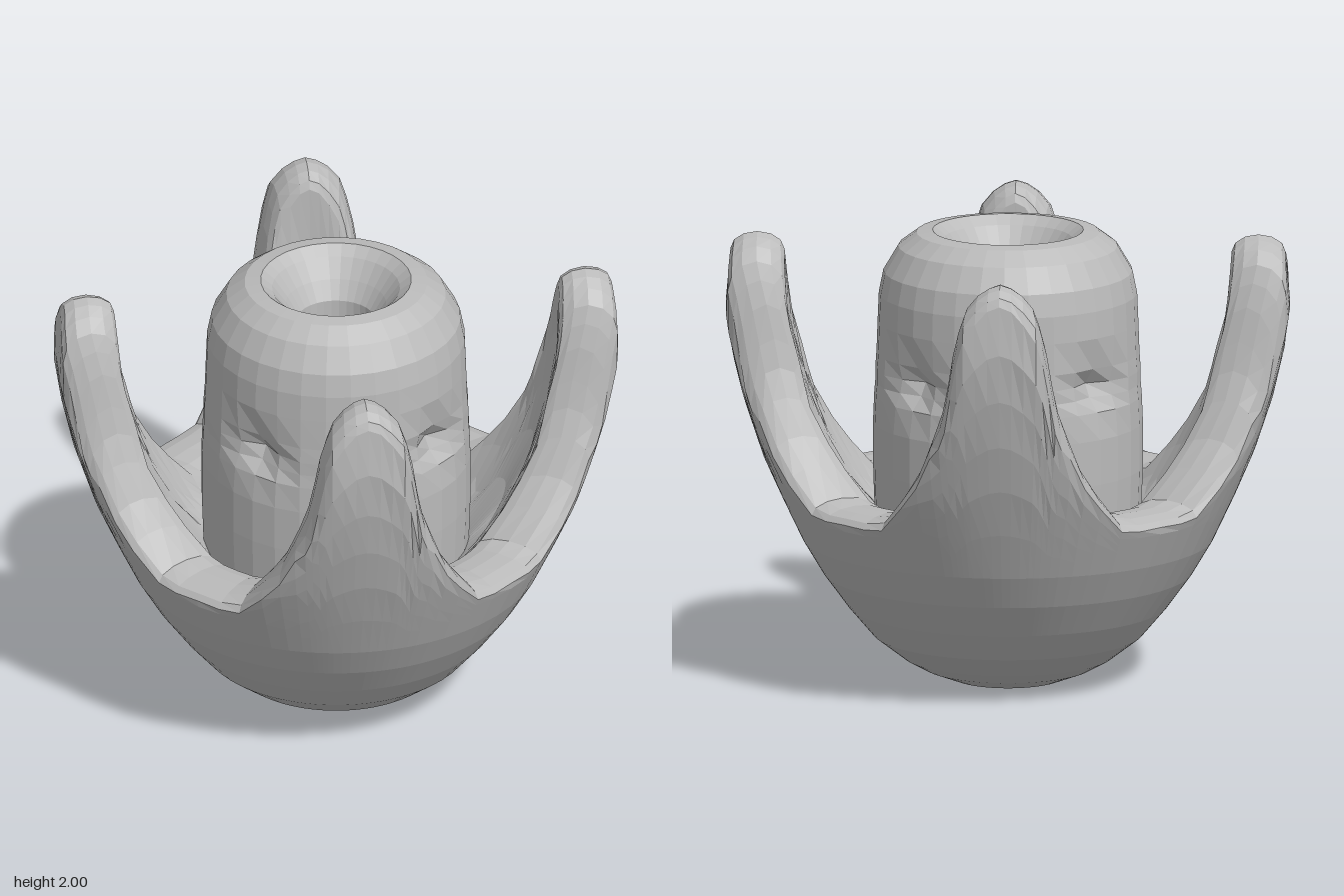
import * as THREE from 'three';

// Piecewise linear lookup in a short list of [input, output] pairs
function lookup(table, t) {
  if (t <= table[0][0]) return table[0][1];
  for (let i = 1; i < table.length; i++) {
    const [a, va] = table[i - 1], [b, vb] = table[i];
    if (t <= b) return va + (vb - va) * (t - a) / (b - a);
  }
  return table[table.length - 1][1];
}

// Outer and inner wall radius by height
const OUTER = [[0, 0.24], [0.05, 0.37], [0.1, 0.46], [0.2, 0.59], [0.4, 0.76], [0.6, 0.885],
  [0.8, 0.98], [1.0, 1.07], [1.3, 1.17], [1.6, 1.235], [1.8, 1.23], [2, 1.2]];
const INNER = [[0.7, 0.55], [0.8, 0.66], [1.0, 0.78], [1.2, 0.875], [1.5, 0.95], [1.7, 0.975], [2, 0.98]];
// Rim height by angle in degrees away from the nearest corner
const RIM = [[0, 1.985], [4, 1.96], [7.5, 1.88], [10, 1.75], [11.5, 1.6], [13, 1.45], [16, 1.3],
  [20, 1.14], [25, 1.02], [32, 0.89], [38, 0.87], [45, 0.87]];
const HALF = 0.98;

// Wall cross-section at one angle: up the outside, over the rim, down the inside
function wallSection(theta, d) {
  const h = lookup(RIM, d);
  const slope = Math.abs(lookup(RIM, d + 1) - lookup(RIM, Math.max(0, d - 1))) / 2;
  const drop = Math.min(0.22, 0.07 + 1.6 * slope) * (h > 1.3 ? 1 : 0.7);
  const square = HALF / Math.max(Math.abs(Math.cos(theta)), Math.abs(Math.sin(theta)));
  const outer = y => Math.min(lookup(OUTER, y), square);
  const inner = y => lookup(INNER, y);
  const points = [[0, 0.05], [0.09, 0.005], [0.24, 0]];
  for (const y of [0.05, 0.1, 0.2, 0.33, 0.48, 0.63]) points.push([outer(y), y]);
  const top = h - drop;
  for (let i = 1; i <= 6; i++) {
    const y = 0.63 + (top - 0.63) * i / 6;
    points.push([outer(y), y]);
  }
  // rounded rim
  const ro = outer(top), ri = inner(top);
  for (let i = 1; i < 6; i++) {
    const a = Math.PI * i / 6;
    points.push([(ro + ri) / 2 + (ro - ri) / 2 * Math.cos(a), top + drop * Math.sin(a)]);
  }
  for (let i = 0; i <= 5; i++) {
    const y = top + (0.7 - top) * i / 5;
    points.push([inner(y), y]);
  }
  points.push([0.4, 0.68]);
  return points;
}

// Bowl whose rim rises into four corner prongs
function bowlGeometry() {
  const half = [2.5, 5, 7.5, 9, 10.5, 12, 13.5, 16, 20, 25, 32, 38];
  const offsets = [...half.map(d => -d).reverse(), 0, ...half, 45];
  const positions = [], index = [];
  let rows = 0, columns = 0;
  for (let corner = 0; corner < 4; corner++) {
    for (const d of offsets) {
      const theta = (45 + 90 * corner + d) * Math.PI / 180;
      const section = wallSection(theta, Math.abs(d));
      rows = section.length;
      columns++;
      for (const [r, y] of section) positions.push(r * Math.sin(theta), y, r * Math.cos(theta));
    }
  }
  for (let j = 0; j < columns; j++) {
    for (let i = 0; i < rows - 1; i++) {
      const a = j * rows + i, b = ((j + 1) % columns) * rows + i;
      index.push(a, b, a + 1, b + 1, a + 1, b);
    }
  }
  const geometry = new THREE.BufferGeometry();
  geometry.setAttribute('position', new THREE.Float32BufferAttribute(positions, 3));
  geometry.setIndex(index);
  geometry.computeVertexNormals();
  return geometry;
}

// Central column with a funnel-shaped hole and a shallow dent on each side
function columnGeometry() {
  const profile = [[0.58, 0.65], [0.59, 0.95], [0.59, 1.15], [0.585, 1.27], [0.58, 1.33], [0.58, 1.39],
    [0.575, 1.46], [0.57, 1.6], [0.565, 1.72], [0.545, 1.82], [0.48, 1.93], [0.4, 1.99], [0.33, 2],
    [0.28, 1.96], [0.22, 1.88], [0.17, 1.8], [0.165, 1.6], [0.15, 1.42], [0, 1.38]];
  const geometry = new THREE.LatheGeometry(profile.map(([r, y]) => new THREE.Vector2(r, y)), 32);
  const p = geometry.attributes.position;
  for (let i = 0; i < p.count; i++) {
    const x = p.getX(i), y = p.getY(i), z = p.getZ(i), r = Math.hypot(x, z);
    if (r < 0.5) continue;
    const side = Math.min(Math.abs(x), Math.abs(z));
    const dent = 0.09 * Math.exp(-(((y - 1.38) / 0.08) ** 2) - (side / 0.12) ** 2);
    p.setXYZ(i, x * (1 - dent / r), y, z * (1 - dent / r));
  }
  geometry.computeVertexNormals();
  return geometry;
}

export function createModel() {
  const model = new THREE.Group();
  model.name = 'prongedBowl';
  const grey = new THREE.MeshStandardMaterial({ color: 0xbababa, flatShading: true });
  grey.name = 'light grey';

  const bowl = new THREE.Mesh(bowlGeometry(), grey);
  bowl.name = 'bowlWithProngs';
  const column = new THREE.Mesh(columnGeometry(), grey);
  column.name = 'centralColumn';
  model.add(bowl, column);
  return model;
}
